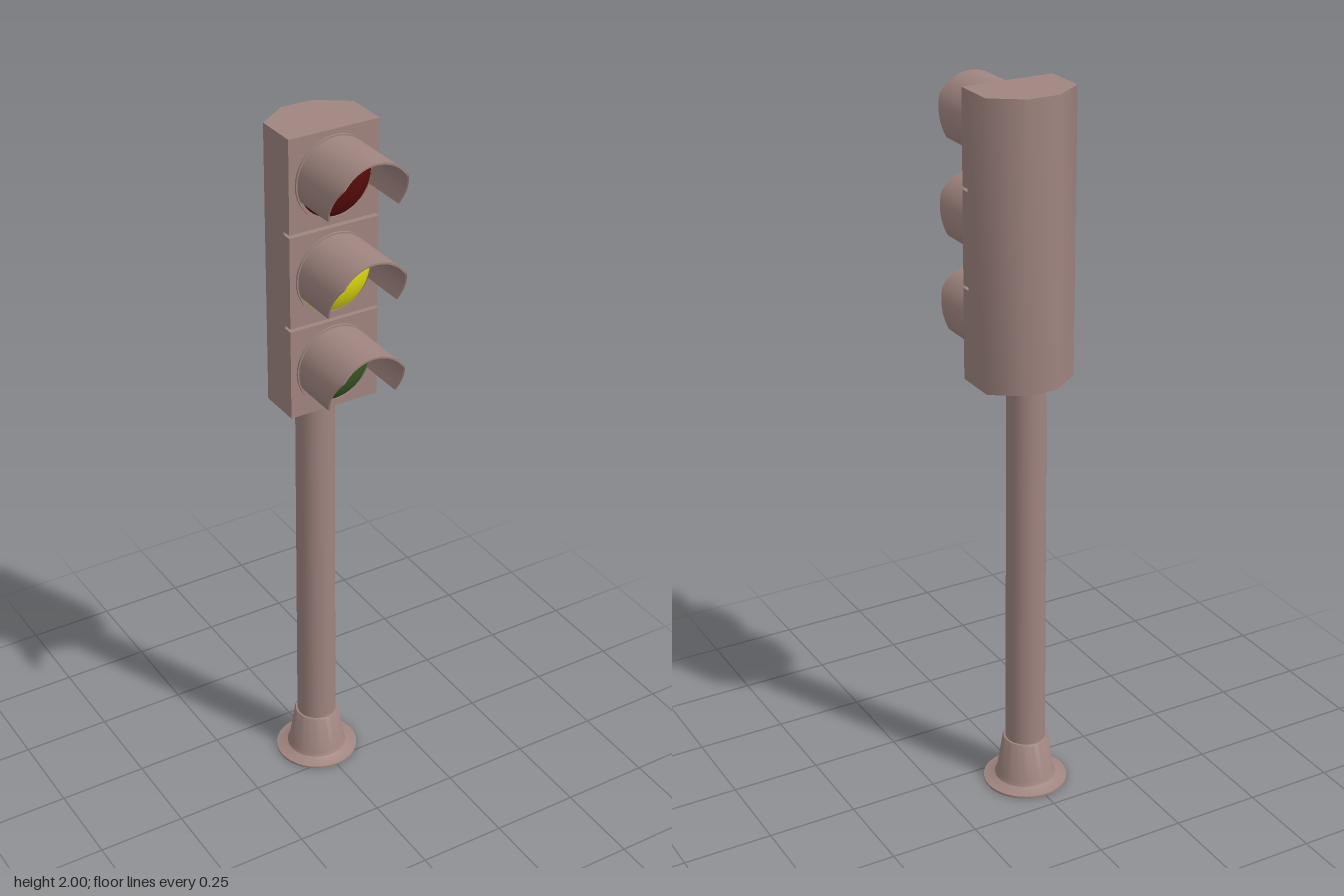
import * as THREE from 'three';
import { toCreasedNormals } from 'three/addons/utils/BufferGeometryUtils.js';

const paint = new THREE.MeshStandardMaterial({ color: 0xa08580 });
const POLE_Z = -0.088;

function add(parent, name, geometry, material = paint) {
  const mesh = new THREE.Mesh(geometry, material);
  mesh.name = name;
  parent.add(mesh);
  return mesh;
}

function lathe(points, segments = 40) {
  const profile = points.map(([r, y]) => new THREE.Vector2(r, y));
  return toCreasedNormals(new THREE.LatheGeometry(profile, segments), 0.6);
}

// Hood: part of a thin cylinder whose front edge sweeps back towards its lower ends
function visorGeometry() {
  const steps = 40, end = 1.95, outer = 0.109, inner = 0.104, back = 0.012;
  const positions = [], index = [];
  for (let i = 0; i <= steps; i++) {
    const a = -end + (2 * end * i) / steps;
    const s = Math.sin(a), c = Math.cos(a);
    const t = THREE.MathUtils.clamp((0.06 - outer * c) / 0.1, 0, 1);
    const front = 0.204 - 0.054 * Math.pow(t, 0.85);
    for (const [r, z] of [[outer, back], [outer, front], [inner, front], [inner, back]]) {
      positions.push(r * s, r * c, z);
    }
    if (i === steps) break;
    for (let j = 0; j < 4; j++) {
      const k = (j + 1) % 4, p = i * 4, q = p + 4;
      index.push(p + j, p + k, q + k, p + j, q + k, q + j);
    }
  }
  const e = steps * 4;
  index.push(0, 2, 1, 0, 3, 2, e, e + 1, e + 2, e, e + 2, e + 3);
  const geometry = new THREE.BufferGeometry();
  geometry.setAttribute('position', new THREE.Float32BufferAttribute(positions, 3));
  geometry.setIndex(index);
  return toCreasedNormals(geometry, 0.6);
}

// Shallow dome facing +z
function lensGeometry() {
  const r = 0.104, h = 0.035;
  const R = (r * r + h * h) / (2 * h);
  return new THREE.SphereGeometry(R, 40, 10, 0, Math.PI * 2, 0, Math.asin(r / R))
    .rotateX(Math.PI / 2)
    .translate(0, 0, 0.014 + h - R);
}

export function createModel() {
  const model = new THREE.Group();
  model.name = 'trafficLight';

  // Pole with flared foot and a collar under the housing
  const support = new THREE.Group();
  support.name = 'support';
  support.position.z = POLE_Z;
  model.add(support);
  add(support, 'foot', lathe([
    [0, 0], [0.118, 0], [0.118, 0.006], [0.1, 0.01], [0.086, 0.017],
    [0.08, 0.03], [0.064, 0.135], [0.061, 0.139], [0.05, 0.139],
  ]));
  add(support, 'pole', new THREE.CylinderGeometry(0.053, 0.056, 1.08, 40, 1, true).translate(0, 0.67, 0));
  add(support, 'collar', lathe([[0.05, 1.203], [0.062, 1.208], [0.062, 1.222]]));

  // Housing with bevelled back corners
  const outline = new THREE.Shape([
    [-0.13, 0.016], [0.13, 0.016], [0.13, 0.11], [0.045, 0.17], [-0.045, 0.17], [-0.13, 0.11],
  ].map(([x, y]) => new THREE.Vector2(x, y)));
  const housing = new THREE.ExtrudeGeometry(outline, { depth: 0.78, bevelEnabled: false })
    .rotateX(-Math.PI / 2)
    .translate(0, 1.22, 0);
  add(model, 'housing', toCreasedNormals(housing, 1.0));

  // Three lamp sections, bottom to top
  const visor = visorGeometry(), lens = lensGeometry();
  const rim = lathe([[0.104, 0.01], [0.113, 0.01], [0.113, 0.018], [0.104, 0.018], [0.104, 0.01]])
    .rotateX(Math.PI / 2);
  const door = new THREE.BoxGeometry(0.26, 0.254, 0.029).translate(0, 0, -0.0025);
  const lamps = [['green', 0x3a5c26], ['yellow', 0xe6e010], ['red', 0x5a0c0c]];
  lamps.forEach(([name, color], i) => {
    const lamp = new THREE.Group();
    lamp.name = name + 'Lamp';
    lamp.position.y = 1.347 + i * 0.263;
    model.add(lamp);
    add(lamp, 'door', door);
    add(lamp, 'rim', rim);
    add(lamp, 'visor', visor);
    add(lamp, 'lens', lens, new THREE.MeshStandardMaterial({ color }));
  });

  return model;
}
